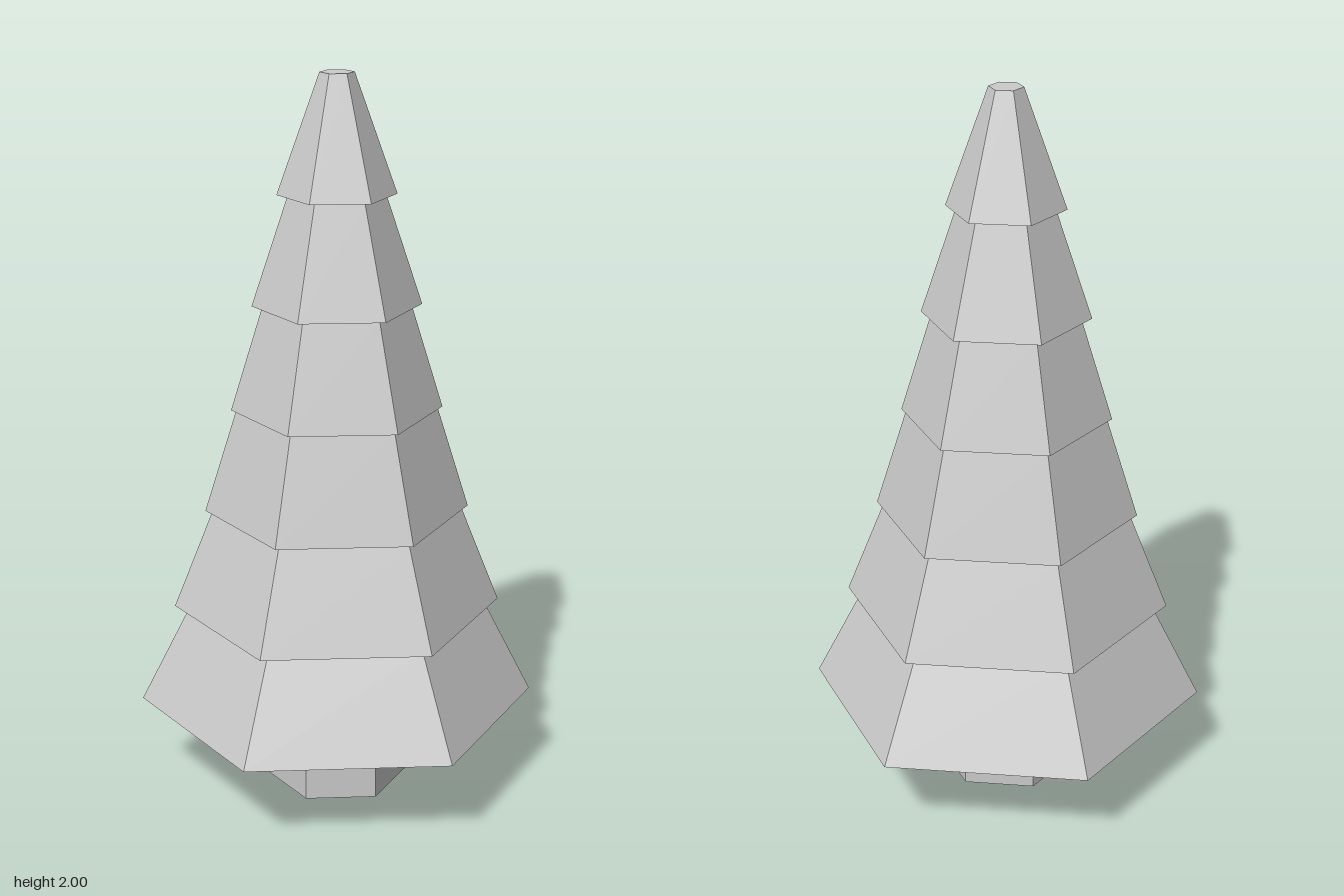
import * as THREE from 'three';

const SIDES = 6;

export function createModel() {
  const tree = new THREE.Group();
  tree.name = 'pineTree';
  const material = new THREE.MeshStandardMaterial({ color: 0xcccccc, flatShading: true });

  // Hexagonal frustum with corners on the z axis
  const frustum = (name, y0, y1, bottomRadius, topRadius) => {
    const geometry = new THREE.CylinderGeometry(topRadius, bottomRadius, y1 - y0, SIDES);
    const mesh = new THREE.Mesh(geometry, material);
    mesh.name = name;
    mesh.position.y = (y0 + y1) / 2;
    tree.add(mesh);
  };

  frustum('trunk', 0, 0.244, 0.195, 0.195);

  // Foliage tiers, bottom to top: base height, base radius, top radius
  const tiers = [
    [0.244, 0.55, 0.41],
    [0.522, 0.453, 0.343],
    [0.802, 0.363, 0.274],
    [1.09, 0.288, 0.2],
    [1.379, 0.229, 0.13],
    [1.679, 0.16, 0.046],
  ];
  tiers.forEach(([base, bottomRadius, topRadius], i) => {
    const top = i + 1 < tiers.length ? tiers[i + 1][0] : 2;
    frustum(`foliageTier${i + 1}`, base, top, bottomRadius, topRadius);
  });

  return tree;
}
